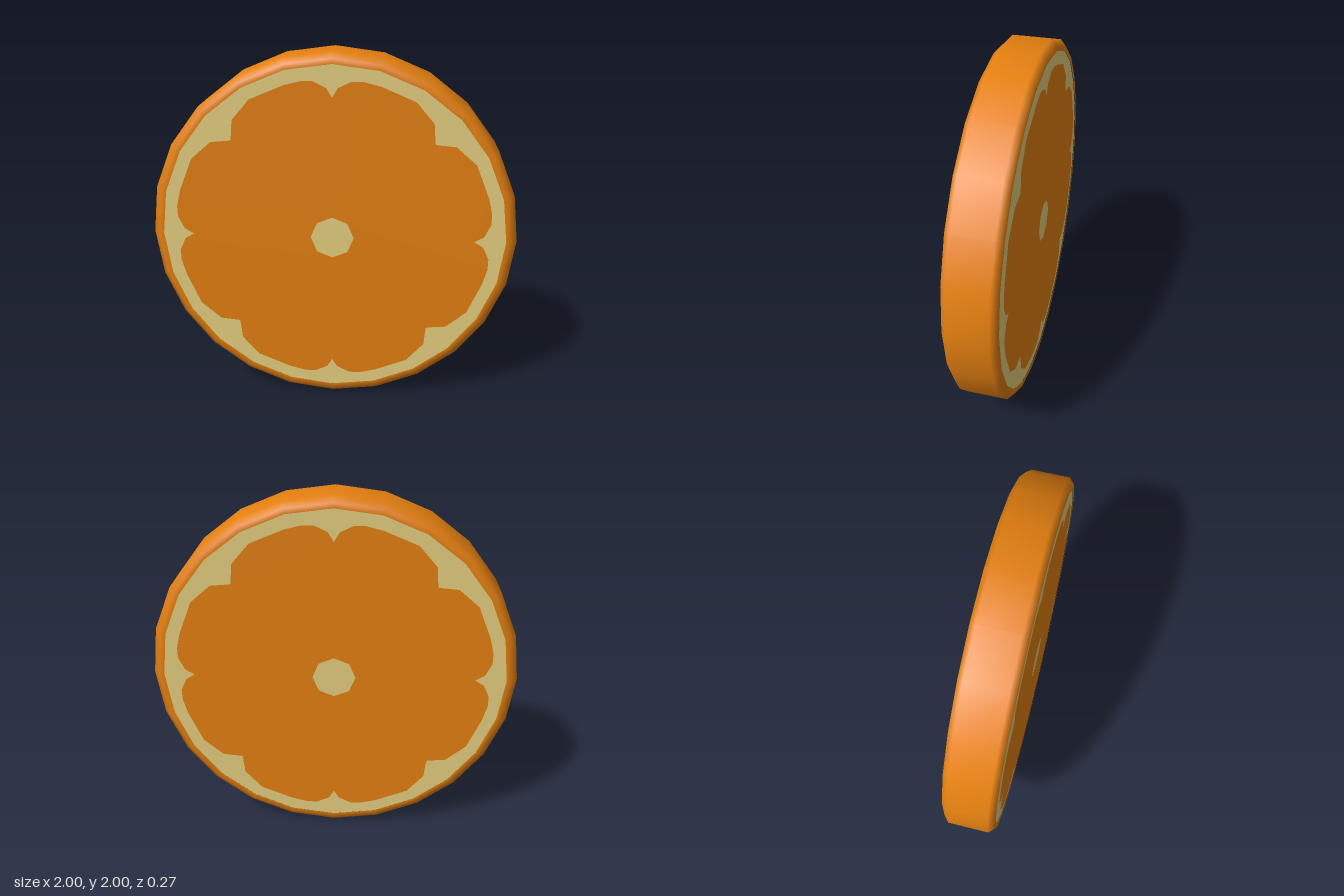
import * as THREE from 'three';

const SIDES = 24;
const HALF = 0.135; // half thickness of the slice

function material(name, color) {
  const m = new THREE.MeshStandardMaterial({ color });
  m.name = name;
  return m;
}

// Scalloped outline: one eighth, mirrored across the diagonal, then turned four times
function fleshShape() {
  const eighth = [
    [0.77, 0], [0.82, 0.03], [0.853, 0.1], [0.853, 0.16],
    [0.83, 0.25], [0.755, 0.43], [0.645, 0.525], [0.54, 0.535],
  ];
  const mirrored = eighth.slice(1).reverse().map(([x, y]) => [y, x]);
  const outline = [];
  for (let i = 0; i < 4; i++) {
    for (const [x, y] of [...eighth, ...mirrored]) {
      outline.push(new THREE.Vector2(x, y).rotateAround(new THREE.Vector2(), i * Math.PI / 2));
    }
  }
  const shape = new THREE.Shape(outline);

  // Octagonal core opening
  const core = [];
  for (let i = 0; i < 8; i++) {
    const a = -i * Math.PI / 4;
    core.push(new THREE.Vector2(0.118 * Math.cos(a), 0.118 * Math.sin(a)));
  }
  shape.holes.push(new THREE.Path(core));
  return shape;
}

export function createModel() {
  const orange = material('orange', 0xe58010);
  const cream = material('cream', 0xe6d080);
  const slice = new THREE.Group();
  slice.name = 'citrusSlice';

  const add = (name, geometry, mat) => {
    const mesh = new THREE.Mesh(geometry, mat);
    mesh.name = name;
    mesh.position.y = 1;
    slice.add(mesh);
    return mesh;
  };

  // Rind with bevelled edges, turned so its axis runs front to back
  const profile = [
    [0.94, -HALF], [0.968, -HALF], [1, -0.105],
    [1, 0.105], [0.968, HALF], [0.94, HALF],
  ].map(([r, z]) => new THREE.Vector2(r, z));
  add('rind', new THREE.LatheGeometry(profile, SIDES).rotateX(Math.PI / 2), orange);

  // Pith disc and flesh on both cut faces
  const pith = new THREE.CircleGeometry(0.942, SIDES);
  const flesh = new THREE.ShapeGeometry(fleshShape());
  for (const side of ['front', 'back']) {
    const sign = side === 'front' ? 1 : -1;
    const turn = side === 'front' ? 0 : Math.PI;
    const disc = add(side + 'Pith', pith, cream);
    const pulp = add(side + 'Flesh', flesh, orange);
    disc.position.z = sign * (HALF - 0.003);
    pulp.position.z = sign * (HALF + 0.001);
    disc.rotation.y = pulp.rotation.y = turn;
  }
  return slice;
}
